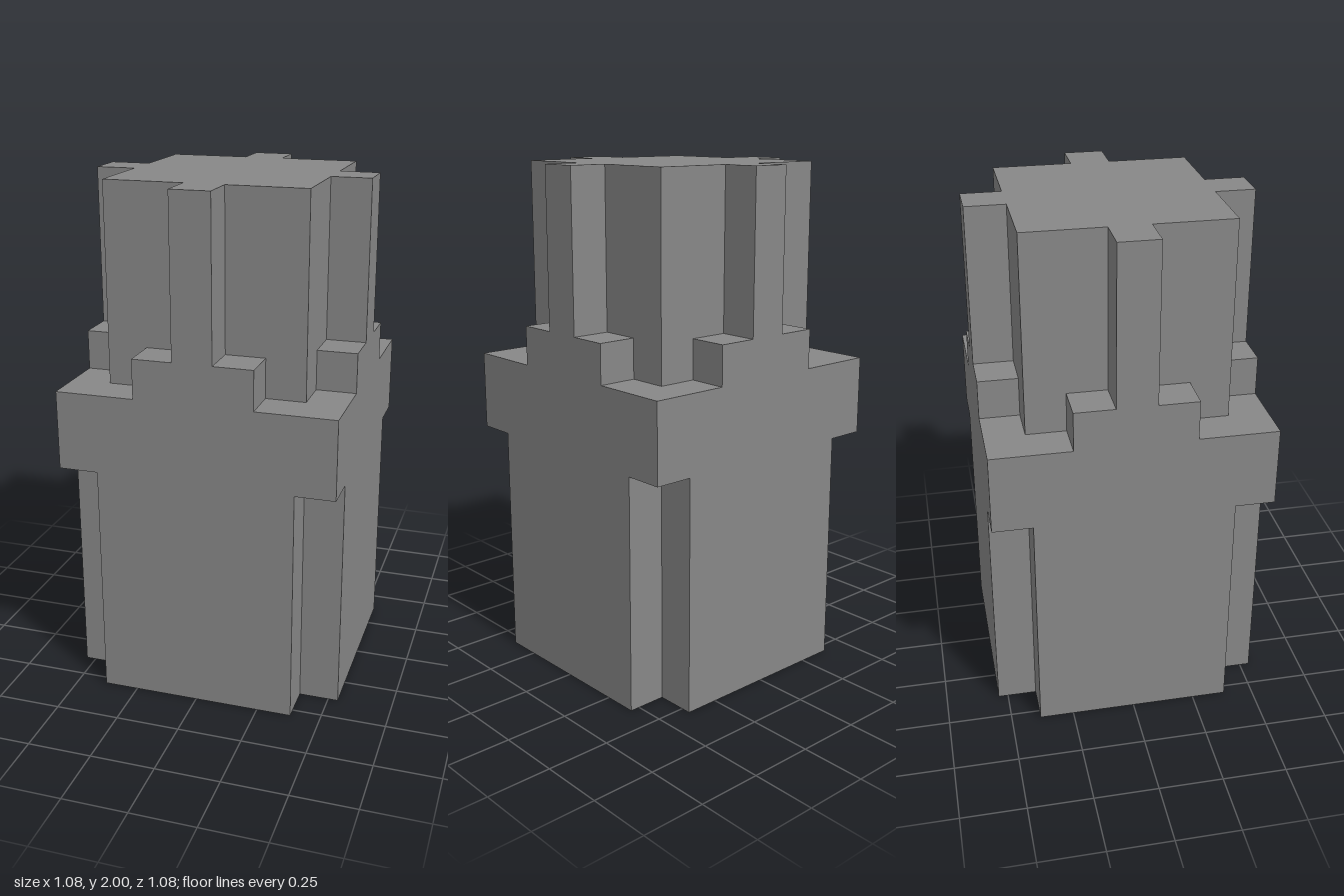
import * as THREE from 'three';

const U = 2 / 13; // one block

// Plan outline: square core of half-width c with one arm of half-width a on each side, reaching r
function crossShape(a, c, r) {
  const corner = [[r, a], [c, a], [c, c], [a, c], [a, r]];
  const points = [];
  for (let i = 0; i < 4; i++) {
    for (const [x, y] of corner) {
      let p = [x, y];
      for (let k = 0; k < i; k++) p = [-p[1], p[0]];
      const v = new THREE.Vector2(p[0] * U, p[1] * U);
      if (!points.length || v.distanceTo(points[points.length - 1]) > 1e-6) points.push(v);
    }
  }
  return new THREE.Shape(points);
}

function squareShape(r) {
  return new THREE.Shape([[r, r], [-r, r], [-r, -r], [r, -r]].map(([x, y]) => new THREE.Vector2(x * U, y * U)));
}

export function createModel() {
  const grey = new THREE.MeshStandardMaterial({ color: 0x878787 });
  grey.name = 'grey';
  const model = new THREE.Group();
  model.name = 'blockTower';

  // Each tier: name, plan, bottom and top in blocks
  const tiers = [
    ['notchedBase', crossShape(2.5, 2.5, 3.5), 0, 6],
    ['squareCollar', squareShape(3.5), 6, 8],
    ['ribFeet', crossShape(1.5, 2.5, 3.5), 8, 9],
    ['ribbedColumn', crossShape(0.5, 2.5, 3.5), 9, 13],
  ];
  for (const [name, shape, y0, y1] of tiers) {
    const geometry = new THREE.ExtrudeGeometry(shape, { depth: (y1 - y0) * U, bevelEnabled: false });
    geometry.rotateX(-Math.PI / 2).translate(0, y0 * U, 0);
    const mesh = new THREE.Mesh(geometry, grey);
    mesh.name = name;
    model.add(mesh);
  }
  return model;
}
